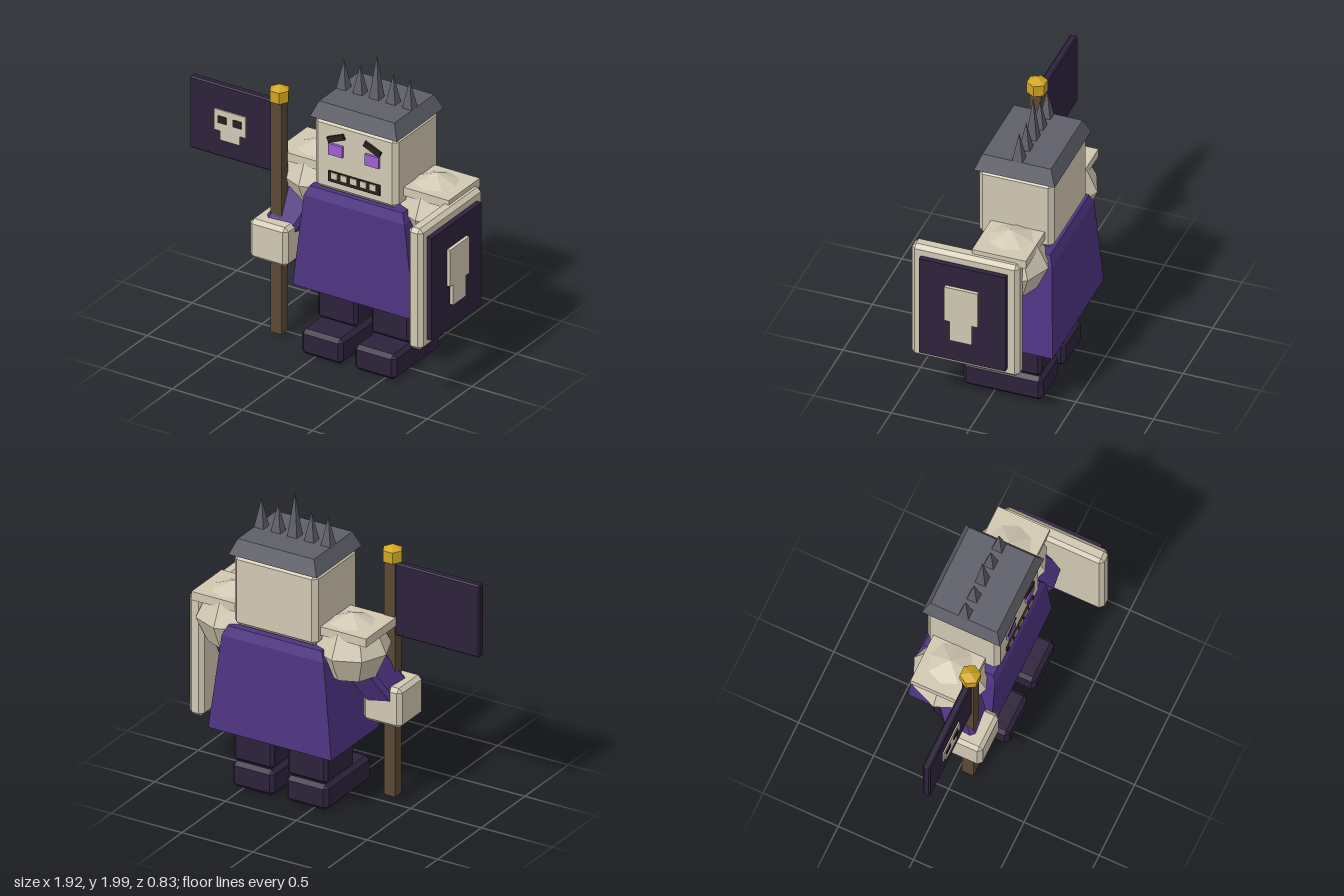
import * as THREE from 'three';
import { ConvexGeometry } from 'three/addons/geometries/ConvexGeometry.js';

const mat = (name, color) => {
  const m = new THREE.MeshStandardMaterial({ color, flatShading: true });
  m.name = name;
  return m;
};

export function createModel() {
  const bone = mat('bone', 0xd2c8b3);
  const purple = mat('robe purple', 0x4e3482);
  const dark = mat('dark purple', 0x2d223c);
  const iron = mat('iron', 0x5e5f69);
  const gold = mat('gold', 0xd0a420);
  const violet = mat('eye violet', 0x9c60d2);
  const wood = mat('wood', 0x5b4936);
  const black = mat('near black', 0x2a1e1e);

  const model = new THREE.Group();
  model.name = 'skeletonKing';
  const group = (name) => {
    const g = new THREE.Group();
    g.name = name;
    model.add(g);
    return g;
  };
  const add = (parent, name, geometry, material) => {
    const mesh = new THREE.Mesh(geometry, material);
    mesh.name = name;
    parent.add(mesh);
    return mesh;
  };

  // Plain box given by its limits on each axis
  const box = (parent, name, material, [x0, x1], [y0, y1], [z0, z1]) => {
    const mesh = add(parent, name, new THREE.BoxGeometry(x1 - x0, y1 - y0, z1 - z0), material);
    mesh.position.set((x0 + x1) / 2, (y0 + y1) / 2, (z0 + z1) / 2);
    return mesh;
  };

  // Box with chamfered edges, centred on its own origin
  const chamferGeometry = (w, h, d, c) => {
    const points = [];
    for (const x of [-1, 1]) for (const y of [-1, 1]) for (const z of [-1, 1]) {
      for (let flat = 0; flat < 3; flat++) {
        const inset = [c, c, c];
        inset[flat] = 0;
        points.push(new THREE.Vector3(x * (w / 2 - inset[0]), y * (h / 2 - inset[1]), z * (d / 2 - inset[2])));
      }
    }
    return new ConvexGeometry(points);
  };
  const chamferBox = (parent, name, material, [x0, x1], [y0, y1], [z0, z1], c = 0.025) => {
    const mesh = add(parent, name, chamferGeometry(x1 - x0, y1 - y0, z1 - z0, c), material);
    mesh.position.set((x0 + x1) / 2, (y0 + y1) / 2, (z0 + z1) / 2);
    return mesh;
  };

  // Solid through rectangles, each [y, x0, x1, z0, z1]
  const stack = (parent, name, material, rings) => {
    const points = rings.flatMap(([y, x0, x1, z0, z1]) => [
      new THREE.Vector3(x0, y, z0), new THREE.Vector3(x1, y, z0),
      new THREE.Vector3(x1, y, z1), new THREE.Vector3(x0, y, z1)]);
    return add(parent, name, new ConvexGeometry(points), material);
  };

  const CX = 0.24; // body centre line
  const CZ = -0.12;

  // Robe
  stack(model, 'robe', purple, [
    [0.425, -0.195, 0.675, -0.415, 0.135],
    [1.05, -0.12, 0.6, -0.382, 0.128],
    [1.112, -0.092, 0.572, -0.36, 0.105]]);

  // Legs and feet, shoulders
  for (const s of [-1, 1]) {
    const side = s > 0 ? 'left' : 'right';
    const legX = CX + s * 0.19;
    chamferBox(model, side + 'Leg', dark, [legX - 0.14, legX + 0.14], [0.185, 0.5], [-0.3, 0.028], 0.02);
    chamferBox(model, side + 'Foot', dark, [legX - 0.148, legX + 0.148], [0.01, 0.18], [-0.31, 0.205]);

    const shoulder = group(side + 'Shoulder');
    const shoulderX = CX + s * 0.417;
    const profile = [[0, 0.87], [0.165, 0.915], [0.24, 1.08], [0.166, 1.236], [0, 1.305]]
      .map(([r, y]) => new THREE.Vector2(r, y));
    const ball = add(shoulder, 'shoulderBall', new THREE.LatheGeometry(profile, 8), bone);
    ball.position.set(shoulderX, 0, -0.142);
    const slabX = [shoulderX - 0.2, shoulderX + 0.2];
    box(shoulder, 'shoulderPlate', bone, slabX, [1.19, 1.247], [-0.312, 0.035]);
  }

  // Arms, reaching forward and outward
  const arm = (name, from, to, width) => {
    const a = new THREE.Vector3(...from);
    const b = new THREE.Vector3(...to);
    const mesh = add(model, name, chamferGeometry(width, a.distanceTo(b), width, 0.025), purple);
    mesh.position.copy(a).add(b).multiplyScalar(0.5);
    mesh.quaternion.setFromUnitVectors(new THREE.Vector3(0, 1, 0), a.sub(b).normalize());
  };
  arm('rightArm', [-0.16, 1.08, -0.14], [-0.33, 0.71, 0.05], 0.21);
  arm('leftArm', [0.64, 1.08, -0.14], [0.78, 0.71, 0.05], 0.21);
  chamferBox(model, 'rightHand', bone, [-0.47, -0.2], [0.555, 0.82], [-0.07, 0.2]);

  // Head and face
  const head = group('head');
  chamferBox(head, 'skull', bone, [-0.055, 0.535], [1.125, 1.605], [-0.363, 0.12], 0.03);
  for (const s of [-1, 1]) {
    const eyeX = CX + s * 0.13;
    box(head, 'eye', violet, [eyeX - 0.05, eyeX + 0.05], [1.382, 1.457], [0.11, 0.137]);
    const brow = add(head, 'eyebrow', new THREE.BoxGeometry(0.125, 0.038, 0.03), black);
    brow.position.set(eyeX, 1.5, 0.12);
    brow.rotation.z = -s * 0.4;
  }
  box(head, 'mouth', black, [0.055, 0.425], [1.198, 1.267], [0.11, 0.132]);
  for (let i = -2; i <= 2; i++) {
    const x = CX + i * 0.069;
    box(head, 'tooth', bone, [x - 0.022, x + 0.022], [1.224, 1.264], [0.11, 0.138]);
  }

  // Crown with a row of spikes
  const crown = group('crown');
  stack(crown, 'crownBand', iron, [
    [1.605, -0.07, 0.552, -0.382, 0.138],
    [1.705, -0.028, 0.51, -0.342, 0.1]]);
  for (let i = -2; i <= 2; i++) {
    const height = i === 0 ? 0.3 : 0.2;
    const cone = new THREE.ConeGeometry(0.05, height, 4).rotateY(Math.PI / 4);
    add(crown, 'crownSpike', cone, iron).position.set(CX + i * 0.118, 1.695 + height / 2, CZ - 0.005);
  }

  // Shield on the left arm
  const shield = group('shield');
  chamferBox(shield, 'shieldRim', bone, [0.8, 0.9], [0.395, 1.217], [-0.28, 0.412]);
  box(shield, 'shieldPanel', dark, [0.89, 0.935], [0.455, 1.15], [-0.21, 0.347]);
  box(shield, 'emblemTop', bone, [0.92, 0.957], [0.752, 1], [-0.038, 0.175]);
  box(shield, 'emblemJaw', bone, [0.92, 0.957], [0.613, 0.752], [0, 0.142]);

  // Banner held in the right hand
  const banner = group('banner');
  box(banner, 'pole', wood, [-0.372, -0.295], [0.04, 1.62], [0.028, 0.105]);
  const knob = add(banner, 'poleKnob', new THREE.CylinderGeometry(0.065, 0.065, 0.075, 6).rotateY(Math.PI / 6), gold);
  knob.position.set(-0.333, 1.648, 0.065);
  const tip = add(banner, 'poleTip', new THREE.ConeGeometry(0.065, 0.033, 6).rotateY(Math.PI / 6), gold);
  tip.position.set(-0.333, 1.702, 0.065);
  chamferBox(banner, 'flag', dark, [-0.96, -0.36], [1.12, 1.605], [0.042, 0.09], 0.008);
  box(banner, 'flagSkull', bone, [-0.78, -0.555], [1.298, 1.44], [0.085, 0.099]);
  box(banner, 'flagJaw', bone, [-0.737, -0.597], [1.237, 1.298], [0.085, 0.099]);
  for (const x of [-0.72, -0.615]) {
    box(banner, 'flagEye', black, [x - 0.03, x + 0.03], [1.352, 1.4], [0.095, 0.104]);
  }

  return model;
}
